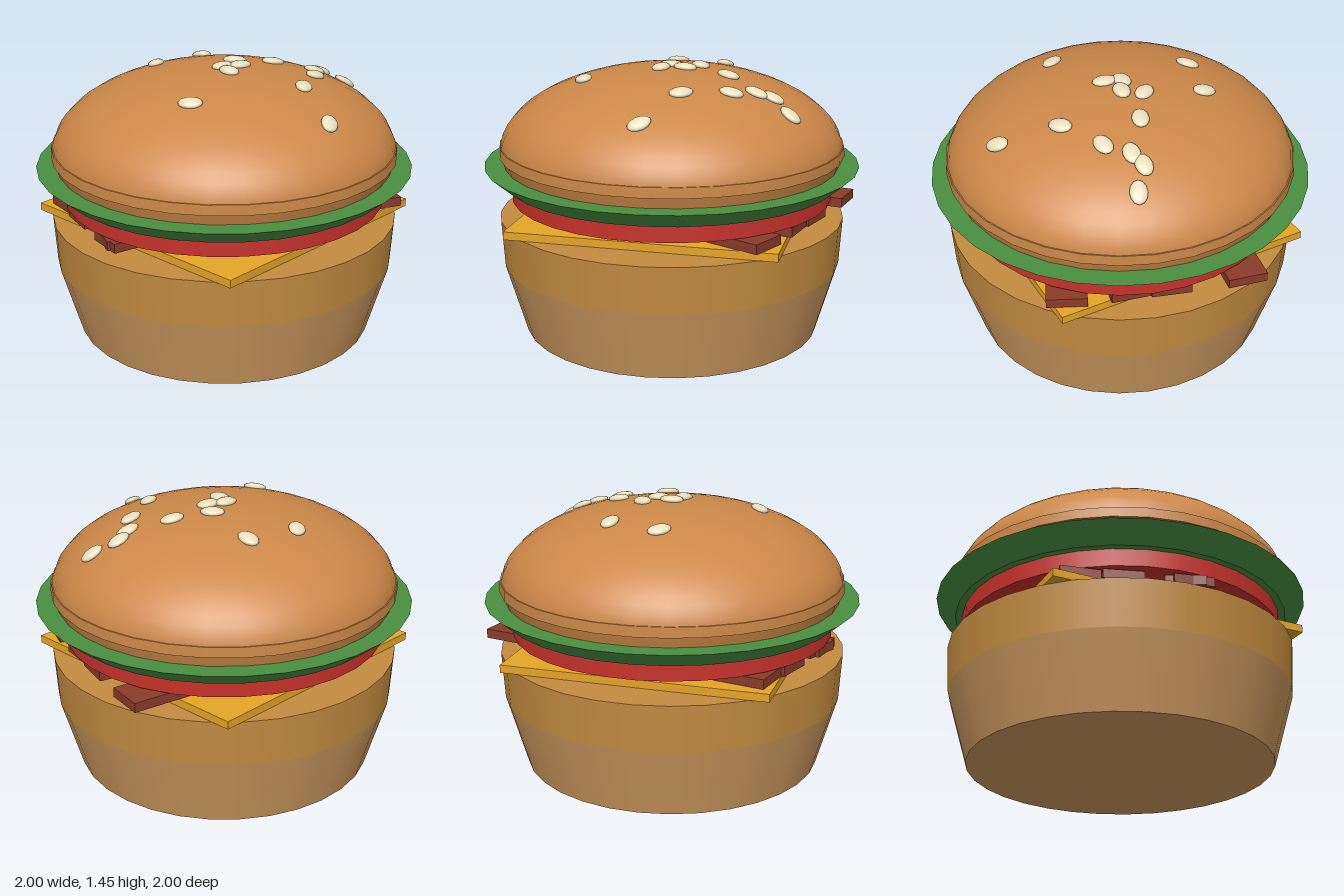
import * as THREE from 'three';

const SIDES = 32;
const DOME = { y: 0.98, radius: 0.915, height: 0.445 };

function add(parent, name, geometry, color) {
  const mesh = new THREE.Mesh(geometry, new THREE.MeshStandardMaterial({ color }));
  mesh.name = name;
  parent.add(mesh);
  return mesh;
}

// Round layer between two heights
function layer(parent, name, y0, y1, r0, r1, color) {
  const mesh = add(parent, name, new THREE.CylinderGeometry(r1, r0, y1 - y0, SIDES), color);
  mesh.position.y = (y0 + y1) / 2;
  return mesh;
}

// Flat slab lying between two heights
function slab(parent, name, length, width, y0, y1, z, turn, color) {
  const mesh = add(parent, name, new THREE.BoxGeometry(length, y1 - y0, width), color);
  mesh.position.set(0, (y0 + y1) / 2, z);
  mesh.rotation.y = turn;
  return mesh;
}

// Seed lying on the dome, long axis along (dx, dz) seen from above
function seed(parent, geometry, material, [x, z, dx, dz]) {
  const { y, radius: a, height: b } = DOME;
  const rise = b * Math.sqrt(1 - (x * x + z * z) / (a * a));
  const normal = new THREE.Vector3(x / (a * a), rise / (b * b), z / (a * a)).normalize();
  const side = new THREE.Vector3().crossVectors(new THREE.Vector3(dx, 0, dz), normal).normalize();
  const along = new THREE.Vector3().crossVectors(normal, side);
  const mesh = new THREE.Mesh(geometry, material);
  mesh.name = 'seed';
  mesh.quaternion.setFromRotationMatrix(new THREE.Matrix4().makeBasis(along, normal, side));
  mesh.position.set(x, y + rise, z).addScaledVector(normal, 0.006);
  parent.add(mesh);
}

export function createModel() {
  const burger = new THREE.Group();
  burger.name = 'burger';

  // Lower bun in two tones
  layer(burger, 'bottomBunBase', 0, 0.38, 0.8, 0.91, 0xd09c60);
  layer(burger, 'bottomBunTop', 0.38, 0.63, 0.91, 0.925, 0xc48c40);

  // Fillings
  slab(burger, 'cheese', 1.405, 1.405, 0.63, 0.672, 0, 0.31, 0xe6a628);
  const strips = [[0.31, -0.135], [0.17, 0.09], [-0.105, 0], [-0.405, 0.11]];
  for (const [z, turn] of strips) {
    slab(burger, 'baconStrip', 1.64, 0.205, 0.672, 0.722, z, turn, 0x8a3c2a);
  }
  layer(burger, 'tomato', 0.73, 0.822, 0.858, 0.858, 0xc8322c);
  layer(burger, 'lettuce', 0.822, 0.912, 0.895, 1, 0x4a9040);

  // Upper bun: tapered underside, narrow rim, dome
  const topBun = new THREE.Group();
  topBun.name = 'topBun';
  burger.add(topBun);
  const bunColor = 0xcc8848;
  layer(topBun, 'topBunUnderside', 0.905, 0.97, 0.89, 0.91, bunColor);
  layer(topBun, 'topBunRim', 0.968, 1.022, 0.92, 0.917, bunColor);
  const dome = add(topBun, 'topBunDome',
    new THREE.SphereGeometry(1, SIDES, 16, 0, Math.PI * 2, 0, Math.PI / 2), bunColor);
  dome.scale.set(DOME.radius, DOME.height, DOME.radius);
  dome.position.y = DOME.y;

  // Seeds: x, z and the heading of each
  const seeds = new THREE.Group();
  seeds.name = 'seeds';
  topBun.add(seeds);
  const seedGeometry = new THREE.SphereGeometry(1, 12, 8).scale(0.064, 0.021, 0.045);
  const seedMaterial = new THREE.MeshStandardMaterial({ color: 0xeadfbe });
  const spots = [
    [-0.2, -0.4, 0.5, -0.87], [0.09, -0.42, -0.2, -1], [0.12, -0.1, 0.7, 0.55],
    [-0.005, -0.01, 1, -0.25], [0.09, 0.01, 1, -0.15], [-0.015, 0.08, 0.1, 1],
    [0.32, -0.04, 1, 0.1], [0.6, 0, 1, -0.15], [0.53, 0.045, 1, -0.1],
    [0.725, 0.05, 1, 0.1], [0.455, 0.17, 1, -0.4], [0.27, 0.35, 0.6, -0.8],
    [0.225, 0.66, 0.45, -0.9], [-0.355, 0.3, 0.75, 0.65],
  ];
  for (const spot of spots) seed(seeds, seedGeometry, seedMaterial, spot);

  return burger;
}
